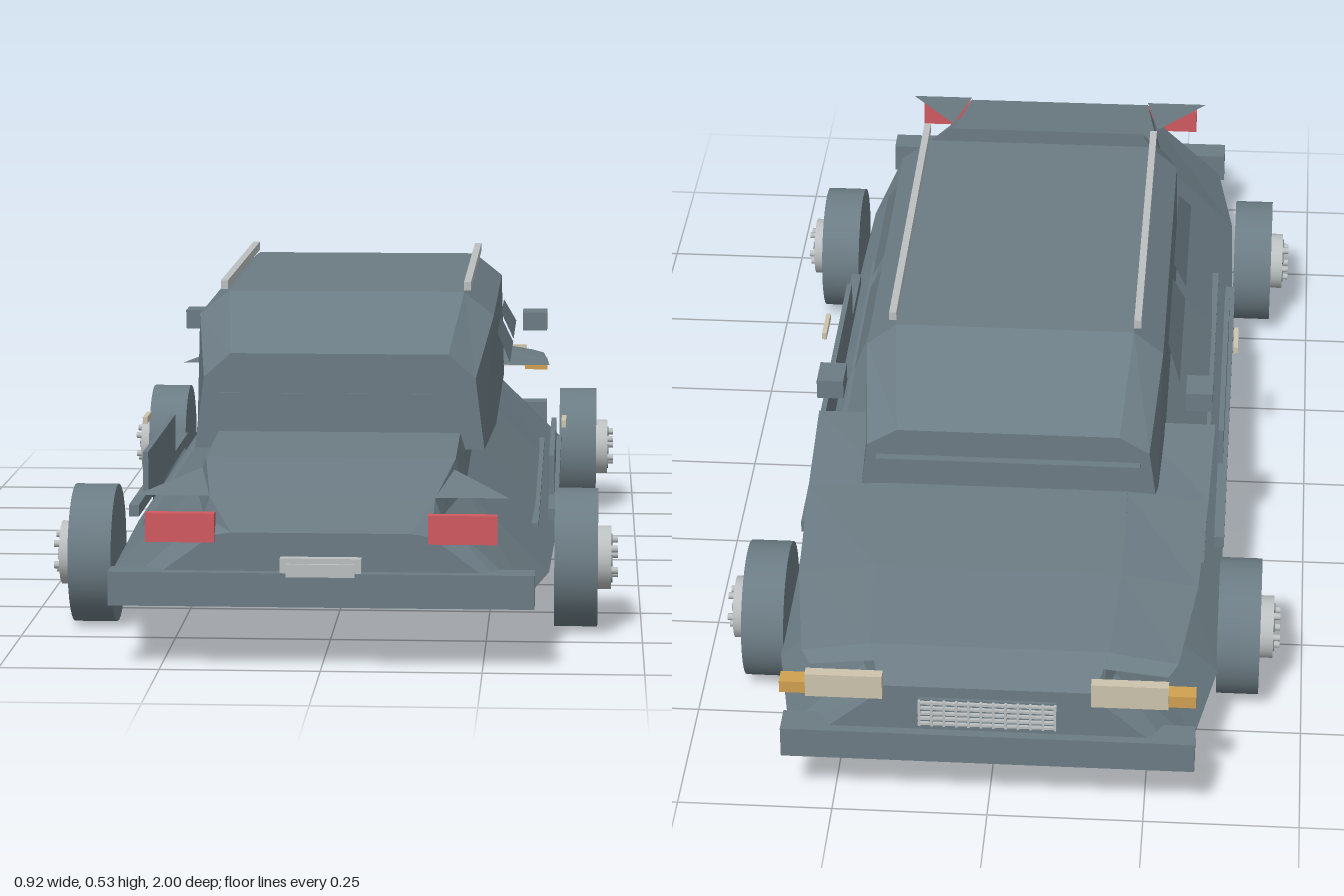
import * as THREE from 'three';

const mat = (name, color) => {
  const m = new THREE.MeshStandardMaterial({ color });
  m.name = name;
  return m;
};

const geometryFrom = pos => {
  const g = new THREE.BufferGeometry();
  g.setAttribute('position', new THREE.Float32BufferAttribute(pos, 3));
  g.computeVertexNormals();
  return g;
};

// Skin a list of stations [z, [x, y], ...]; points run top to bottom and are mirrored
function loft(stations) {
  const rings = stations.map(([z, ...pts]) => {
    const left = pts.map(([x, y]) => new THREE.Vector3(x, y, z));
    const right = pts.map(([x, y]) => new THREE.Vector3(-x, y, z));
    return [...left.reverse(), ...right];
  });
  const n = rings[0].length, pos = [];
  const tri = (...v) => v.forEach(p => pos.push(p.x, p.y, p.z));
  for (let i = 0; i < rings.length - 1; i++) {
    for (let j = 0; j < n; j++) {
      const k = (j + 1) % n;
      const a = rings[i][j], b = rings[i][k], c = rings[i + 1][k], d = rings[i + 1][j];
      tri(a, b, d);
      tri(b, c, d);
    }
  }
  // End caps
  [[rings[0], true], [rings[rings.length - 1], false]].forEach(([ring, flip]) => {
    const flat = ring.map(p => new THREE.Vector2(p.x, p.y));
    THREE.ShapeUtils.triangulateShape(flat, []).forEach(([a, b, c]) =>
      flip ? tri(ring[a], ring[c], ring[b]) : tri(ring[a], ring[b], ring[c]));
  });
  return geometryFrom(pos);
}

export function createModel() {
  const car = new THREE.Group();
  car.name = 'car';
  const slate = mat('slate', 0x6c7c84);
  const silver = mat('silver', 0xbcc0c0);
  const cream = mat('cream', 0xcdc4ae);
  const amber = mat('amber', 0xd0a050);
  const red = mat('red', 0xd05a60);

  const add = (name, geo, material, parent = car) => {
    const m = new THREE.Mesh(geo, material);
    m.name = name;
    parent.add(m);
    return m;
  };
  // Box given by its extents
  const box = (name, material, x0, x1, y0, y1, z0, z1) => {
    const m = add(name, new THREE.BoxGeometry(x1 - x0, y1 - y0, z1 - z0), material);
    m.position.set((x0 + x1) / 2, (y0 + y1) / 2, (z0 + z1) / 2);
  };
  const pair = (name, material, x0, x1, ...rest) => {
    box(name + 'Left', material, x0, x1, ...rest);
    box(name + 'Right', material, -x1, -x0, ...rest);
  };
  // Thin panel on the left, counterclockwise from outside, and its mirror image
  const panelPair = (name, ...pts) => {
    const mirrored = pts.map(([x, y, z]) => [-x, y, z]).reverse();
    [[pts, 'Left'], [mirrored, 'Right']].forEach(([p, side]) => {
      const pos = [];
      for (let i = 1; i < p.length - 1; i++) pos.push(...p[0], ...p[i], ...p[i + 1]);
      add(name + side, geometryFrom(pos), slate);
    });
  };

  // Lower body: deck edge, shoulder, flared floor edge at each station
  const B = 0.113;
  add('body', loft([
    [-0.98, [0.17, 0.235], [0.18, 0.215], [0.3, B]],
    [-0.93, [0.19, 0.28], [0.2, 0.24], [0.325, B]],
    [-0.74, [0.2, 0.298], [0.215, 0.25], [0.36, B]],
    [-0.3, [0.2, 0.31], [0.215, 0.255], [0.36, B]],
    [0.3, [0.2, 0.31], [0.215, 0.255], [0.36, B]],
    [0.74, [0.2, 0.295], [0.215, 0.245], [0.35, B]],
    [0.945, [0.175, 0.264], [0.185, 0.235], [0.32, B]],
    [0.975, [0.14, 0.213], [0.17, 0.208], [0.3, B]],
  ]), slate);

  // Hood wings: top sheet from the deck edge, level underside
  const wing = [
    [-0.95, 0.285, 0.25, 0.18, 0.262], [-0.93, 0.3, 0.262, 0.19, 0.28],
    [-0.74, 0.325, 0.28, 0.2, 0.298], [-0.51, 0.335, 0.295, 0.2, 0.304],
    [-0.3, 0.34, 0.312, 0.2, 0.312],
  ];
  for (let i = 0; i < wing.length - 1; i++) {
    const [z0, x0, y0, dx0, dy0] = wing[i], [z1, x1, y1, dx1, dy1] = wing[i + 1];
    panelPair('hoodWingTop' + i, [dx0, dy0, z0], [dx1, dy1, z1], [x1, y1, z1], [x0, y0, z0]);
    panelPair('hoodWingUnderside' + i, [0.2, y0, z0], [x0, y0, z0], [x1, y1, z1], [0.2, y1, z1]);
  }

  // Tail lid corners
  panelPair('lidCornerTop', [0.2, 0.287, 0.8], [0.175, 0.266, 0.95], [0.29, 0.266, 0.95]);
  panelPair('lidCornerUnderside', [0.2, 0.287, 0.8], [0.29, 0.266, 0.95], [0.175, 0.266, 0.95]);

  // Cabin: roof edge, shoulder, base
  add('cabin', loft([
    [-0.505, [0.185, 0.41], [0.235, 0.38], [0.25, 0.275]],
    [-0.34, [0.2, 0.515], [0.25, 0.475], [0.255, 0.29]],
    [0.31, [0.2, 0.515], [0.25, 0.475], [0.255, 0.29]],
    [0.51, [0.18, 0.433], [0.225, 0.393], [0.24, 0.275]],
  ]), slate);

  // Side windows, leaning inward at the top
  const window = (name, z0, z1, t0, t1) => panelPair(name,
    [0.278, 0.395, z1], [0.278, 0.395, z0], [0.256, 0.44, t0], [0.256, 0.44, t1]);
  window('noseSideWindow', -0.3, -0.02, -0.25, -0.03);
  window('tailSideWindow', 0.02, 0.31, 0.02, 0.27);

  // Window trims, roof rails, mirrors, handles
  box('tailWindowTrim', slate, -0.22, 0.22, 0.36, 0.367, 0.495, 0.512);
  box('noseWindowTrim', slate, -0.22, 0.22, 0.355, 0.362, -0.52, -0.5);
  pair('roofRail', silver, 0.2, 0.212, 0.52, 0.535, -0.335, 0.335);
  pair('mirror', slate, 0.29, 0.335, 0.376, 0.41, -0.36, -0.3);
  pair('doorHandle', cream, 0.365, 0.373, 0.254, 0.266, 0.03, 0.1);

  // Door panels and side skirts
  pair('doorPanel', slate, 0.345, 0.354, 0.162, 0.23, -0.19, 0.27);
  pair('sidePanel', slate, 0.345, 0.362, 0.142, 0.162, -0.42, 0.42);
  pair('sideSkirt', slate, 0.31, 0.33, 0.134, 0.15, -0.48, 0.49);

  // Bumpers, plate, grille
  box('tailBumper', slate, -0.33, 0.33, 0.1, 0.153, 0.945, 0.995);
  box('noseBumper', slate, -0.33, 0.33, 0.1, 0.153, -0.995, -0.945);
  box('plateFrame', silver, -0.063, 0.063, 0.153, 0.176, 0.975, 0.993);
  box('plate', silver, -0.053, 0.053, 0.148, 0.168, 0.99, 1.0);
  box('grilleBack', slate, -0.11, 0.11, 0.165, 0.215, -0.985, -0.975);
  for (let i = 0; i < 5; i++) {
    const y = 0.168 + i * 0.01;
    box('grilleBar' + i, silver, -0.11, 0.11, y, y + 0.004, -0.99, -0.984);
  }
  for (let i = 0; i < 12; i++) {
    const x = -0.11 + i * 0.0196;
    box('grillePost' + i, silver, x, x + 0.004, 0.166, 0.214, -0.99, -0.984);
  }

  // Lamps
  pair('tailLamp', red, 0.165, 0.272, 0.198, 0.243, 0.962, 0.982);
  pair('headlamp', cream, 0.165, 0.287, 0.222, 0.264, -0.998, -0.98);
  pair('turnLamp', amber, 0.285, 0.33, 0.218, 0.239, -0.985, -0.957);

  // Wheels with hubs, holes and bolts
  for (const s of [1, -1]) {
    for (const z of [-0.609, 0.606]) {
      const wheel = new THREE.Group();
      wheel.name = 'wheel';
      wheel.position.set(0, 0.114, z);
      car.add(wheel);
      const disc = (name, r, x0, x1, material, sides, y = 0, dz = 0) => {
        const g = new THREE.CylinderGeometry(r, r, x1 - x0, sides).rotateZ(Math.PI / 2);
        add(name, g, material, wheel).position.set(s * (x0 + x1) / 2, y, dz);
      };
      disc('tyre', 0.113, 0.358, 0.428, slate, 32);
      disc('hub', 0.052, 0.42, 0.45, silver, 24);
      for (let i = 0; i < 5; i++) {
        const a = i * Math.PI * 0.4 + 0.3, b = a + Math.PI / 5;
        disc('hubHole', 0.009, 0.449, 0.452, slate, 10, Math.cos(a) * 0.033, Math.sin(a) * 0.033);
        disc('bolt', 0.006, 0.448, 0.461, silver, 8, Math.cos(b) * 0.03, Math.sin(b) * 0.03);
      }
    }
  }
  return car;
}
